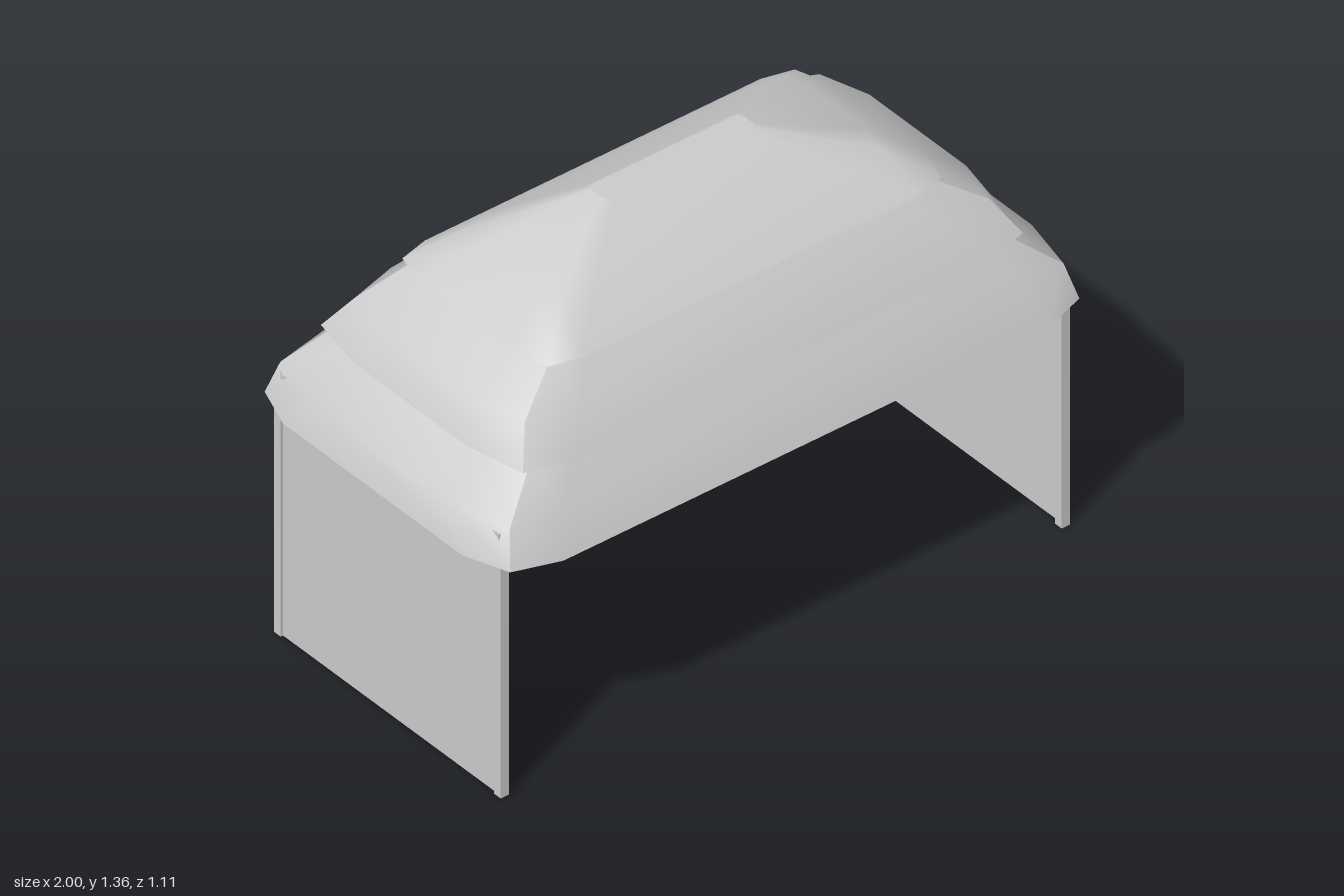
import * as THREE from 'three';

const material = new THREE.MeshStandardMaterial({ color: 0xcccccc });
const THICK = 0.045;

// Moves a ring to the inner face of the roof shell
const inner = ([y, points], drop) =>
  [y - drop, points.map(([x, z]) => [Math.max(x - THICK, 0.005), Math.max(z - THICK, 0.005)])];

// Shrinks a ring to its centre, which closes a shell
const centre = ([y]) => [y, [[0, 0], [0, 0], [0, 0]]];

// A hollow tier, open below. Each ring is [y, [three corner points as x, z]];
// the corner is mirrored into four. A creased tier doubles the middle corner point for a sharp hip.
function roofTier(name, rings, { creased, closed }) {
  const positions = [], index = [];
  const m = creased ? 4 : 3, n = 4 * m;

  function addStrip(strip) {
    const start = positions.length / 3;
    for (const [y, [a, b, c]] of strip) {
      const corner = creased ? [a, b, b, c] : [a, b, c];
      const reversed = [...corner].reverse();
      for (const [sx, sz, points] of [[1, 1, corner], [-1, 1, reversed], [-1, -1, corner], [1, -1, reversed]]) {
        for (const [x, z] of points) positions.push(sx * x, y, sz * z);
      }
    }
    for (let r = 0; r < strip.length - 1; r++) {
      for (let i = 0; i < n; i++) {
        if (creased && i % m === 1) continue;
        const p = start + r * n + i, q = start + r * n + (i + 1) % n;
        // Mirrored corners take the mirrored diagonal
        if (Math.floor(i / m) % 2) index.push(p, p + n, q + n, p, q + n, q);
        else index.push(p, p + n, q, q, p + n, q + n);
      }
    }
  }

  const [low, mid, high] = rings;
  const inLow = inner(low, 0), inMid = inner(mid, 0.01), inHigh = inner(high, 0.025);
  addStrip(rings);
  addStrip([inHigh, inMid, inLow]);
  addStrip([inLow, low]);
  if (closed) {
    addStrip([high, centre(high)]);
    addStrip([centre(inHigh), inHigh]);
  } else {
    addStrip([high, inHigh]);
  }

  const geometry = new THREE.BufferGeometry();
  geometry.setAttribute('position', new THREE.Float32BufferAttribute(positions, 3));
  geometry.setIndex(index);
  geometry.computeVertexNormals();
  const mesh = new THREE.Mesh(geometry, material);
  mesh.name = name;
  return mesh;
}

function box(name, w, h, d, x, z) {
  const mesh = new THREE.Mesh(new THREE.BoxGeometry(w, h, d), material);
  mesh.position.set(x, h / 2, z);
  mesh.name = name;
  return mesh;
}

export function createModel() {
  const model = new THREE.Group();
  model.name = 'shelter';

  // Three thin wall panels, open at the front, set into square corner posts
  const X = 0.95, Z = 0.4675, post = 0.027, panel = 0.004, inset = 0.01;
  const walls = new THREE.Group();
  walls.name = 'walls';
  walls.add(box('backWall', 2 * X - post, 0.84, panel, 0, -Z + inset));
  for (const s of [-1, 1]) {
    const side = s > 0 ? 'left' : 'right';
    walls.add(box(side + 'Wall', panel, 0.84, 0.902, s * (X - inset), 0));
    for (const e of [-1, 1]) {
      const name = side + (e > 0 ? 'FrontPost' : 'BackPost');
      walls.add(box(name, post, 0.77, post, s * (X - post / 2), e * (Z - post / 2)));
    }
  }
  model.add(walls);

  // Three overlapping roof tiers
  const roof = new THREE.Group();
  roof.name = 'roof';
  roof.add(
    roofTier('lowerRoof', [
      [0.753, [[1, 0.37], [0.95, 0.507], [0.81, 0.554]]],
      [0.858, [[0.967, 0.29], [0.925, 0.473], [0.77, 0.505]]],
      [0.977, [[0.83, 0.27], [0.78, 0.385], [0.67, 0.425]]],
    ], { creased: true, closed: false }),
    roofTier('middleRoof', [
      [0.967, [[0.873, 0.23], [0.835, 0.417], [0.69, 0.453]]],
      [1.066, [[0.82, 0.2], [0.775, 0.35], [0.62, 0.393]]],
      [1.172, [[0.65, 0.16], [0.615, 0.27], [0.52, 0.297]]],
    ], { creased: true, closed: false }),
    roofTier('upperRoof', [
      [1.164, [[0.688, 0.2], [0.655, 0.303], [0.56, 0.327]]],
      [1.264, [[0.555, 0.12], [0.525, 0.195], [0.42, 0.21]]],
      [1.363, [[0.255, 0.02], [0.247, 0.035], [0.23, 0.038]]],
    ], { creased: false, closed: true }),
  );
  model.add(roof);
  return model;
}
